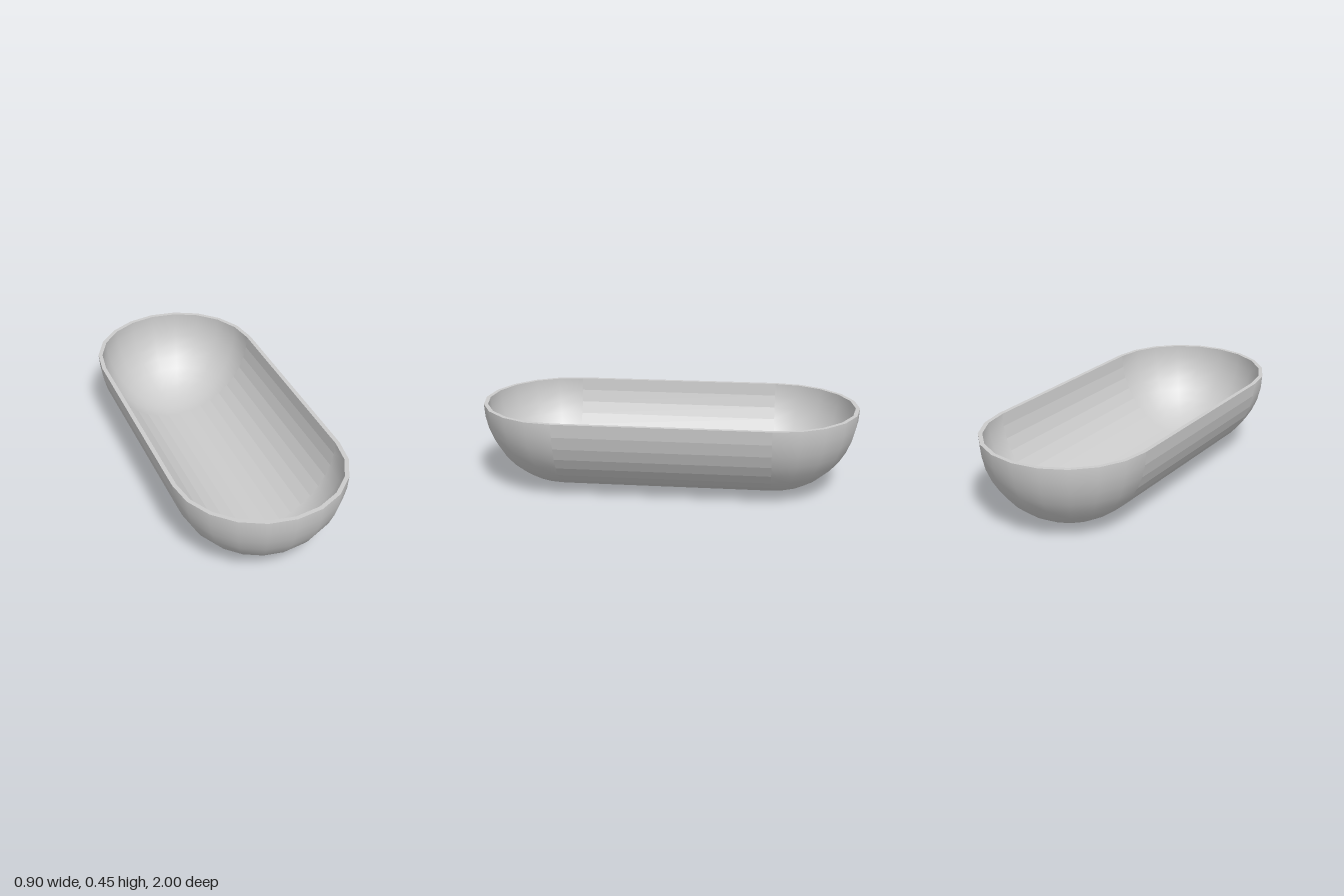
import * as THREE from 'three';

const OUTER = 0.448, INNER = 0.426, HALF = 0.552, TOP = 0.449;

// Turn a surface inside out so that it faces the hollow
function invert(geo) {
  const idx = geo.index.array;
  for (let i = 0; i < idx.length; i += 3) [idx[i], idx[i + 1]] = [idx[i + 1], idx[i]];
  const n = geo.attributes.normal.array;
  for (let i = 0; i < n.length; i++) n[i] = -n[i];
  return geo;
}

// Stadium outline with ten-sided round ends
function outline(r) {
  const pts = [];
  for (const end of [0, 1]) {
    for (let i = 0; i <= 10; i++) {
      const a = Math.PI * (end + i / 10);
      pts.push(new THREE.Vector2(r * Math.cos(a), r * Math.sin(a) + (end ? -HALF : HALF)));
    }
  }
  return pts;
}

export function createModel() {
  const group = new THREE.Group();
  const smooth = new THREE.MeshStandardMaterial({ color: 0xcccccc });
  const flat = new THREE.MeshStandardMaterial({ color: 0xcccccc, flatShading: true });
  const add = (name, geo, mat) => {
    const mesh = new THREE.Mesh(geo, mat);
    mesh.name = name;
    mesh.position.y = TOP;
    group.add(mesh);
    return mesh;
  };

  // Outer and inner skins: faceted half-cylinder trough with smooth quarter-sphere ends
  for (const [side, r] of [['outer', OUTER], ['inner', INNER]]) {
    const face = (geo) => (side === 'inner' ? invert(geo) : geo);
    const trough = new THREE.CylinderGeometry(r, r, 2 * HALF, 20, 1, true, -Math.PI / 2, Math.PI);
    trough.rotateX(Math.PI / 2);
    add(side + 'Trough', face(trough), flat);
    for (const [end, sign] of [['Front', 1], ['Back', -1]]) {
      const cap = new THREE.SphereGeometry(r, 10, 10, sign > 0 ? 0 : Math.PI, Math.PI, Math.PI / 2, Math.PI / 2);
      add(side + end + 'End', face(cap), smooth).position.z = sign * HALF;
    }
  }

  // Flat rim joining the two skins
  const rim = new THREE.Shape(outline(OUTER));
  rim.holes.push(new THREE.Path(outline(INNER)));
  add('rim', new THREE.ShapeGeometry(rim).rotateX(-Math.PI / 2), flat);

  return group;
}
